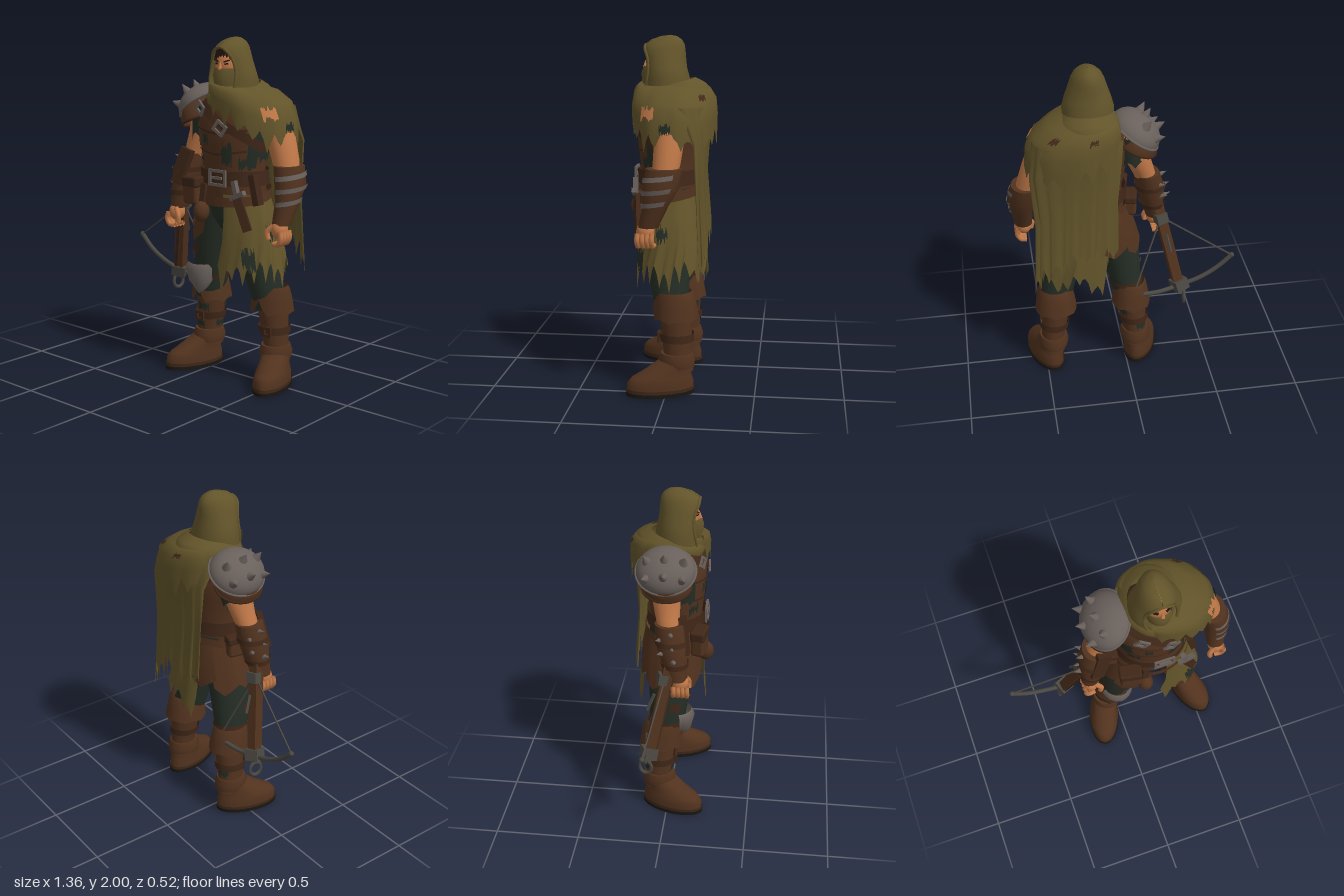
import * as THREE from 'three';
import { RoundedBoxGeometry } from 'three/addons/geometries/RoundedBoxGeometry.js';

const mat = (name, color) => Object.assign(new THREE.MeshStandardMaterial({ color, side: THREE.DoubleSide }), { name });
const olive = mat('olive cloth', 0x62542a), leather = mat('brown leather', 0x51321e), strap = mat('dark leather', 0x402718),
  dark = mat('dark green cloth', 0x252d25), steel = mat('steel', 0x69605b), iron = mat('dark iron', 0x4b4842),
  skin = mat('skin', 0xc07848), hair = mat('dark hair', 0x2a1811), sole = mat('black sole', 0x191612);

export function createModel() {
  const root = new THREE.Group();
  root.name = 'hoodedRanger';
  let seed = 7;
  const rnd = () => (seed = (seed * 16807) % 2147483647) / 2147483647;
  const add = (name, geo, m, parent = root) => {
    const mesh = new THREE.Mesh(geo, m);
    mesh.name = name;
    parent.add(mesh);
    return mesh;
  };
  const put = (name, geo, m, p, r = [0, 0, 0], s = [1, 1, 1], parent = root) => {
    const o = add(name, geo, m, parent);
    o.position.set(...p); o.rotation.set(...r); o.scale.set(...s);
    return o;
  };
  // Surface from rows (bottom to top) of points
  const grid = (rows, cols, fn, closed) => {
    const pos = [], idx = [];
    for (let i = 0; i < rows; i++) for (let j = 0; j < cols; j++) pos.push(...fn(i, j));
    for (let i = 0; i < rows - 1; i++) for (let j = 0; j < (closed ? cols : cols - 1); j++) {
      const k = (j + 1) % cols, a = i * cols + j, b = i * cols + k, c = b + cols, d = a + cols;
      idx.push(a, b, c, a, c, d);
    }
    const g = new THREE.BufferGeometry();
    g.setAttribute('position', new THREE.Float32BufferAttribute(pos, 3));
    g.setIndex(idx);
    g.computeVertexNormals();
    return g;
  };
  // Rings are [y, centreX, centreZ, radiusX, radiusZ, startAngle, endAngle, frontDrop]; angle 0 is the front
  const loft = (name, m, rings, { seg = 28, rag = 0, trim = () => 0, fold = 0, cap = true } = {}) => {
    const open = rings[0][5] !== undefined && rings[0][6] - rings[0][5] < 6.2;
    let r = rings;
    if (!open && cap) {
      const f = rings[0], l = rings[rings.length - 1];
      r = [[f[0], f[1], f[2], 0, 0], f, ...rings, l, [l[0], l[1], l[2], 0, 0]];
    }
    const cols = open ? seg + 1 : seg;
    return add(name, grid(r.length, cols, (i, j) => {
      const [y, cx, cz, rx, rz, a0 = 0, a1 = Math.PI * 2, drop = 0] = r[i];
      const t = j / seg, a = a0 + (a1 - a0) * t, w = 1 - i / (r.length - 1);
      const k = 1 + fold * w * Math.sin(t * 42);
      const tear = i === 0 && rag ? rag * [.7, .15, -1, .05][j % 4] * (.3 + rnd()) : 0;
      return [cx + rx * k * Math.sin(a), y - drop * (1 + Math.cos(a)) / 2 + trim(t) * w + tear, cz + rz * k * Math.cos(a)];
    }, !open), m);
  };
  const at = (rings, y) => {
    let i = 0;
    while (i < rings.length - 2 && rings[i + 1][0] < y) i++;
    const p = rings[i], q = rings[i + 1], t = (y - p[0]) / (q[0] - p[0]);
    return p.slice(0, 5).map((v, k) => v + (q[k] - v) * t);
  };
  // Thin patch or band lying on a lofted part
  const patch = (name, m, rings, y0, y1, a0, a1, { grow = 0.007, shift = () => 0, rag = 0, seg = 16 } = {}) =>
    add(name, grid(4, seg + 1, (i, j) => {
      const t = j / seg, tear = rag && (i === 0 || i === 3) ? (rnd() - 0.5) * rag : 0;
      const y = y0 + (y1 - y0) * i / 3 + shift(t) + tear, a = a0 + (a1 - a0) * t;
      const [, cx, cz, rx, rz] = at(rings, y);
      return [cx + (rx + grow) * Math.sin(a), y, cz + (rz + grow) * Math.cos(a)];
    }), m);
  const V = p => new THREE.Vector3(...p);
  const bar = (name, m, a, b, w, d, parent = root) => {
    const dir = V(b).sub(V(a)), o = add(name, new THREE.BoxGeometry(w, dir.length(), d), m, parent);
    o.position.copy(V(a).addScaledVector(dir, 0.5));
    o.quaternion.setFromUnitVectors(new THREE.Vector3(0, 1, 0), dir.normalize());
  };
  const tube = (name, m, pts, r, parent = root) =>
    add(name, new THREE.TubeGeometry(new THREE.CatmullRomCurve3(pts.map(V)), 28, r, 8), m, parent);
  const ball = (name, m, p, s) => put(name, new THREE.SphereGeometry(1, 20, 14), m, p, [0, 0, 0], s);
  const spike = (name, m, p, dir, r, h, parent = root) => {
    const o = put(name, new THREE.ConeGeometry(r, h, 10), m, p, [0, 0, 0], [1, 1, 1], parent);
    o.quaternion.setFromUnitVectors(new THREE.Vector3(0, 1, 0), V(dir).normalize());
  };
  const buckle = (m, p, w, h, rz = 0, ry = 0) => {
    const s = new THREE.Shape(), q = new THREE.Path(), u = w / 2, v = h / 2, e = 0.016;
    s.moveTo(-u, -v).lineTo(u, -v).lineTo(u, v).lineTo(-u, v);
    q.moveTo(e - u, e - v).lineTo(e - u, v - e).lineTo(u - e, v - e).lineTo(u - e, e - v);
    s.holes.push(q);
    put('buckle', new THREE.ExtrudeGeometry(s, { depth: 0.012, bevelEnabled: false }), m, p, [0, ry, rz]);
  };
  const PI = Math.PI;

  // Torso, vest and trousers
  const vest = [[1.05, .2, .015, .2, .155], [1.25, .2, .02, .188, .155], [1.4, .2, .015, .215, .178],
    [1.52, .2, .01, .23, .187], [1.62, .2, 0, .215, .155], [1.7, .2, 0, .12, .11]];
  loft('vest', leather, vest, { seg: 36 });
  for (const [y0, y1, a0, a1] of [[1.36, 1.5, -1.9, -.8], [1.32, 1.54, .95, 1.9], [1.29, 1.4, .2, .5], [1.41, 1.45, -.45, -.25], [1.28, 1.33, -1, -.6], [1.27, 1.33, .7, 1.3]])
    patch('shirtPatch', dark, vest, y0, y1, a0, a1, { rag: .05 });
  for (const y of [1.34, 1.46]) patch('vestSeam', strap, vest, y, y + .012, -.9, .9, { shift: t => .05 * Math.abs(t - .5) });
  loft('hips', dark, [[.9, .2, 0, .1, .1], [.98, .2, 0, .19, .14], [1.15, .2, .01, .19, .15]]);
  const legs = {
    right: [[.45, -.03, -.03, .085, .095], [.62, .0, -.01, .1, .11], [.8, .028, 0, .12, .125], [1, .08, 0, .125, .135], [1.1, .11, 0, .1, .12]],
    left: [[.45, .43, -.03, .09, .095], [.62, .402, -.01, .107, .11], [.8, .355, 0, .118, .125], [1, .31, 0, .12, .135], [1.1, .29, 0, .1, .12]]
  };
  for (const k in legs) loft(k + 'TrouserLeg', dark, legs[k]);
  for (const [y, a] of [[.74, -.6], [.68, -1.4]]) patch('trouserPatch', strap, legs.right, y, y + .05, a, a + .5, { rag: .03 });

  // Boots, with the feet turned outwards
  for (const [side, cx, ankle, foot, rc, s] of [['right', -.035, -.06, -.105, .118, 1], ['left', .43, .455, .5, .128, -1]]) {
    const shaft = [[.13, ankle, -.065, .074, .085], [.22, ankle, -.06, .07, .078], [.34, (cx + ankle) / 2, -.055, .08, .086], [.5, cx, -.05, .088, .098]];
    loft(side + 'BootShaft', leather, shaft);
    loft(side + 'BootCuff', leather, [[.43, cx, -.05, rc, .13], [.5, cx, -.045, rc - .01, .122], [.56, cx, -.04, rc - .022, .112], [.585, cx, -.035, rc - .032, .1]],
      { rag: .012, cap: false, trim: t => .07 * Math.max(0, 1 - Math.min(t, 1 - t) * 18) });
    const base = [[.02, 0, 0, .092, .19], [.07, 0, 0, .094, .19], [.1, s * .002, -.008, .087, .172]];
    const parts = [
      loft(side + 'Foot', leather, [...base, [.14, s * .006, -.045, .08, .13], [.2, s * .015, -.1, .076, .088]], { seg: 36 }),
      loft(side + 'Sole', sole, [[0, 0, 0, .098, .196], [.02, 0, 0, .098, .196]], { seg: 36 }),
      patch(side + 'SoleSeam', strap, base, .022, .04, 0, 2 * PI, { grow: .004, seg: 36 })];
    for (const o of parts) {
      o.position.set(foot, 0, .033);
      o.rotation.y = -s * .3;
    }
    loft(side + 'AnkleStrap', leather, [[.15, ankle, -.055, .086, .1], [.19, ankle, -.055, .094, .104], [.23, ankle, -.055, .082, .09]], { rag: .008 });
    patch(side + 'ShinStrap', strap, shaft, .3, .345, 0, 2 * PI, { grow: .012, seg: 28 });
    buckle(strap, [ankle + .01, .322, .04], .06, .06);
    if (side === 'right') for (const [y, a] of [[.25, -.5], [.36, -.2], [.25, 1.2], [.37, 1.8], [.26, 3.2]])
      patch('bootGap', dark, shaft, y, y + .045, a, a + .8, { rag: .025 });
  }
  loft('kneeGuard', steel, [[.48, -.005, .06, .045, .045, -1.3, 1.3], [.54, -.015, .05, .092, .085, -1.3, 1.3],
    [.63, -.025, .045, .1, .11, -1.3, 1.3], [.665, -.015, .04, .088, .095, -1.3, 1.3]], { seg: 14, trim: t => .08 * Math.abs(t - .5) });
  patch('kneeBand', strap, legs.right, .57, .6, 0, 2 * PI, { seg: 28 });

  // Tattered skirt and leather hip panels
  const skirt = [[.69, .27, -.01, .25, .205, -.22, PI + .6], [.85, .25, -.01, .235, .195, -.02, PI + .6], [1.0, .22, 0, .222, .18, .14, PI + .6], [1.12, .2, .01, .208, .168, .2, PI + .6]];
  loft('tatteredSkirt', olive, skirt, { seg: 56, rag: .07, fold: .03, trim: t => -.1 * Math.max(0, 1 - Math.abs(t - .05) * 18) + .06 * Math.sin(t * 25) * t });
  for (const [a, y, h] of [[.5, .71, .1], [1.25, .88, .06]]) patch('skirtHole', dark, skirt, y, y + h, a, a + .32, { rag: .06, grow: .014 });
  for (let i = 0; i < 4; i++) {
    const a = -.25 - i * .7, p = [a - .76, a];
    loft('hipPanel', leather, [[.81, .165, 0, .26, .19, ...p], [.97, .18, 0, .24, .185, ...p], [1.14, .2, .01, .212, .172, ...p]],
      { seg: 10, trim: t => .12 * Math.abs(t - .4) + (i % 2) * .03 });
  }

  // Belts, buckles, pouches and dagger
  patch('belt', strap, vest, 1.17, 1.255, 0, 2 * PI, { grow: .02, seg: 40 });
  patch('slungBelt', leather, vest, 1.08, 1.135, 0, 2 * PI, { grow: .03, seg: 40, shift: t => -.03 * Math.cos(t * 2 * PI) });
  buckle(steel, [.22, 1.215, .193], .125, .095);
  put('buckleTongue', new THREE.BoxGeometry(.07, .016, .012), steel, [.22, 1.215, .202]);
  patch('bandolierFront', strap, vest, 1.63, 1.69, -.95, 1.35, { grow: .014, seg: 24, shift: t => -.27 * t });
  patch('bandolierBack', strap, vest, 1.36, 1.42, 1.35, 2 * PI - .95, { grow: .014, seg: 24, shift: t => .27 * t });
  buckle(steel, [.08, 1.6, .178], .075, .065, -.6, -.3);
  buckle(steel, [.245, 1.5, .203], .08, .07, -.6, .1);
  const pouch = (p, w, h, d, rz) => {
    put('pouch', new RoundedBoxGeometry(w, h, d, 3, .02), leather, p, [0, -.2, rz]);
    put('pouchFlap', new RoundedBoxGeometry(w * 1.06, h * .4, d * 1.1, 3, .015), strap, [p[0], p[1] + h * .32, p[2]], [0, -.2, rz]);
  };
  pouch([.02, 1.12, .175], .125, .16, .08, .05);
  pouch([-.04, 1.12, 0], .07, .13, .12, 0);
  ball('coinPouch', leather, [.105, 1.01, .205], [.045, .06, .05]);
  bar('coinPouchCord', strap, [.105, 1.04, .2], [.11, 1.17, .185], .035, .02);
  bar('daggerSheath', strap, [.35, 1.12, .185], [.42, .93, .17], .05, .025);
  bar('daggerGuard', steel, [.315, 1.105, .19], [.41, 1.15, .19], .026, .03);
  bar('daggerGrip', steel, [.36, 1.12, .19], [.335, 1.21, .19], .028, .028);
  bar('hipStrap', strap, [.4, 1.24, .1], [.44, 1.07, .1], .04, .05);

  // Left arm
  loft('leftArm', skin, [[1.2, .58, .01, .06, .065], [1.32, .545, -.01, .078, .076], [1.45, .5, -.02, .085, .083], [1.6, .44, -.03, .09, .09]]);
  const bracerL = [[.98, .592, .085, .052, .055], [1.1, .6, .045, .066, .072], [1.2, .598, .015, .083, .1], [1.3, .575, 0, .08, .1]];
  loft('leftBracer', leather, bracerL, { rag: .015 });
  for (const y of [1.08, 1.15, 1.22]) patch('leftBracerPlate', steel, bracerL, y, y + .026, -.3, 2.2, { shift: t => .03 * t });
  // Right arm
  loft('rightArm', skin, [[1.25, -.14, .02, .06, .065], [1.35, -.105, 0, .068, .07], [1.45, -.065, -.01, .08, .085], [1.6, -.04, -.01, .09, .09]]);
  loft('rightSleeve', dark, [[1.425, -.05, -.01, .085, .09], [1.6, -.02, -.01, .1, .1]], { rag: .03, cap: false });
  const bracerR = [[.98, -.195, .065, .052, .058], [1.1, -.172, .045, .072, .078], [1.2, -.16, .03, .084, .09], [1.31, -.135, .015, .076, .085]];
  loft('rightBracer', leather, bracerR, { rag: .015 });
  for (const y of [1.06, 1.2]) patch('rightBracerStrap', strap, bracerR, y, y + .03, 0, 2 * PI, { seg: 24 });
  bar('bracerBlock', strap, [-.165, 1.13, .115], [-.105, 1.34, .085], .08, .04);
  for (const [y, z] of [[1.12, .05], [1.2, .04], [1.28, .03], [1.16, -.03], [1.24, -.04]])
    spike('bracerSpike', steel, [at(bracerR, y)[1] - (z < 0 ? .065 : .09), y, z], [-1, .35, z < 0 ? -.7 : .1], .021, .06);
  // Hands with loosely curled fingers
  for (const [side, x, z, s] of [['right', -.195, .085, -1], ['left', .59, .1, 1]]) {
    ball(side + 'Palm', skin, [x, .955, z], [.046, .055, .05]);
    for (let i = 0; i < 4; i++)
      tube(side + 'Finger', skin, [[x + s * .035, .95, z + .04 - i * .026], [x + s * .042, .91, z + .042 - i * .026], [x + s * .022, .878, z + .04 - i * .026], [x - s * .012, .875, z + .035 - i * .026]], .015);
    tube(side + 'Thumb', skin, [[x - s * .02, .98, z + .03], [x - s * .05, .94, z + .045], [x - s * .045, .9, z + .045]], .016);
  }

  // Spiked shoulder armour
  const dome = new THREE.SphereGeometry(1, 28, 10, 0, 2 * PI, 0, PI / 2);
  put('shoulderUnderplate', dome, leather, [-.07, 1.51, -.01], [0, 0, .4], [.122, .13, .14]);
  put('shoulderUnderplateRim', new THREE.TorusGeometry(1, .06, 8, 28), strap, [-.07, 1.51, -.01], [PI / 2, .4, 0], [.12, .14, .14]);
  const pauldron = new THREE.Group();
  pauldron.name = 'pauldron';
  pauldron.position.set(-.06, 1.6, -.015);
  pauldron.rotation.z = .62;
  root.add(pauldron);
  put('pauldronDome', dome, steel, [0, 0, 0], [0, 0, 0], [.155, .115, .17], pauldron);
  put('pauldronRim', new THREE.TorusGeometry(1, .05, 8, 32), steel, [0, 0, 0], [PI / 2, 0, 0], [.155, .17, .14], pauldron);
  for (const dx of [-.62, .05]) for (const dz of [-.6, 0, .6]) {
    const h = Math.sqrt(1 - dx * dx - dz * dz);
    spike('pauldronSpike', steel, [dx * .16, h * .115 + .02, dz * .18], [dx * .8, h + .2, dz * .5], .031, .065, pauldron);
  }

  // Cape, mantle and cowl
  const back = [PI / 2, 1.5 * PI - .25];
  loft('cape', olive, [[.68, .3, -.185, .245, .045, ...back], [1.1, .29, -.168, .24, .038, ...back], [1.42, .29, -.155, .265, .07, ...back], [1.62, .27, -.07, .26, .175, ...back]],
    { seg: 56, rag: .08, fold: .06, trim: t => .22 * Math.min(1, t * 2) });
  const wrap = [-.5, PI + 1.05];
  const mantle = [[1.43, .287, -.025, .288, .235, ...wrap], [1.55, .282, -.025, .285, .238, ...wrap], [1.64, .262, -.025, .26, .23, ...wrap], [1.7, .23, -.02, .2, .2, ...wrap], [1.73, .2, 0, .14, .14, ...wrap]];
  loft('mantle', olive, mantle, { seg: 60, rag: .06, fold: .012, trim: t => .2 * Math.max(0, 1 - t / .3) + .1 * Math.max(0, (t - .7) / .3) });
  patch('shoulderTear', skin, mantle, 1.56, 1.62, .85, 1.2, { rag: .03, grow: .01 });
  patch('mantleTear', dark, mantle, 1.49, 1.53, 1.35, 1.6, { rag: .03, grow: .01 });
  for (const a of [2.3, 3.25]) patch('mantleTear', strap, mantle, 1.655, 1.68, a, a + .2, { rag: .015, grow: .01 });
  const full = [0, 2 * PI];
  loft('cowl', olive, [[1.65, .21, -.02, .19, .2, ...full, .03], [1.7, .205, -.018, .185, .204, ...full, .05], [1.735, .2, -.01, .168, .18, ...full, .06],
    [1.765, .2, .01, .14, .14, ...full, .07]], { fold: .012, cap: false, seg: 36 });
  loft('neckScarf', olive, [[1.6, .2, .06, .06, .1], [1.66, .2, .05, .12, .13], [1.71, .2, .05, .11, .11], [1.73, .2, .05, .08, .09]]);

  // Head, mask, hair and hood
  ball('head', skin, [.2, 1.835, .048], [.087, .11, .102]);
  loft('mask', olive, [[1.66, .2, .075, .055, .07], [1.72, .2, .08, .068, .088], [1.79, .2, .072, .084, .103], [1.828, .2, .062, .084, .097]], { cap: false });
  spike('nose', skin, [.2, 1.845, .15], [0, 1, -.1], .014, .05);
  for (const s of [-1, 1]) {
    put('eye', new THREE.BoxGeometry(.022, .008, .008), sole, [.2 + s * .034, 1.852, .138], [0, s * .4, s * .15]);
    put('eyebrow', new THREE.BoxGeometry(.036, .008, .009), hair, [.2 + s * .036, 1.868, .138], [0, s * .4, s * .3]);
  }
  for (let i = 0; i < 7; i++)
    spike('hairLock', hair, [.137 + i * .018, 1.893 + (i < 4 ? .003 * i : .01 - (i - 4) * .006), .134 - Math.abs(i - 3.5) * .006], [(i - 4.5) * .12, -1, .15], .015, i < 3 ? .07 : .045);
  const slit = o => [o, 2 * PI - o];
  const hood = [[1.68, .2, .03, .145, .135, ...slit(.58)], [1.76, .2, .03, .147, .13, ...slit(.7)], [1.82, .2, .036, .13, .12, ...slit(.76)],
    [1.88, .198, .042, .108, .12, ...slit(.74)], [1.92, .197, .045, .095, .12, ...slit(.55)], [1.95, .197, .04, .08, .11, ...slit(.02)],
    [1.975, .197, .03, .058, .085, ...slit(.01)], [1.993, .197, .018, .03, .045, ...slit(.01)], [2, .197, .01, .001, .001, ...slit(.01)]];
  loft('hood', olive, hood, { seg: 40 });
  const rim = s => hood.slice(0, 5).map(([y, cx, cz, rx, rz, o]) => [cx + s * rx * Math.sin(o), y, cz + rz * Math.cos(o)]);
  tube('hoodRim', olive, [...rim(-1), [.197, 1.945, .15], ...rim(1).reverse()], .009);

  // Crossbow held in the right hand
  const bow = new THREE.Group();
  bow.name = 'crossbow';
  root.add(bow);
  const tipA = [-.655, .72, -.08], tipB = [-.04, .52, -.13], nock = [-.225, .99, .0];
  bar('stock', leather, [-.205, 1.07, .02], [-.335, .5, -.09], .06, .06, bow);
  bar('stockRail', strap, [-.21, 1.0, .04], [-.33, .56, -.05], .022, .02, bow);
  bar('stockBracket', iron, [-.322, .575, -.08], [-.34, .51, -.092], .09, .085, bow);
  bar('boltLatch', iron, [-.215, 1.02, .0], [-.228, .96, -.01], .075, .07, bow);
  bar('trigger', iron, [-.25, .9, -.06], [-.27, .8, -.1], .014, .014, bow);
  tube('bowLimb', iron, [tipA, [-.57, .64, -.08], [-.46, .575, -.085], [-.335, .535, -.09], [-.2, .512, -.11], tipB], .014, bow);
  for (const t of [tipA, tipB]) {
    bar('bowString', iron, t, nock, .008, .008, bow);
    put('bowTip', new THREE.SphereGeometry(.016, 10, 8), iron, t, [0, 0, 0], [1, 1, 1], bow);
  }
  put('stirrup', new THREE.TorusGeometry(.036, .01, 8, 24), iron, [-.36, .46, -.1], [0, 1.4, 0], [1, 1.2, 1], bow);
  return root;
}
